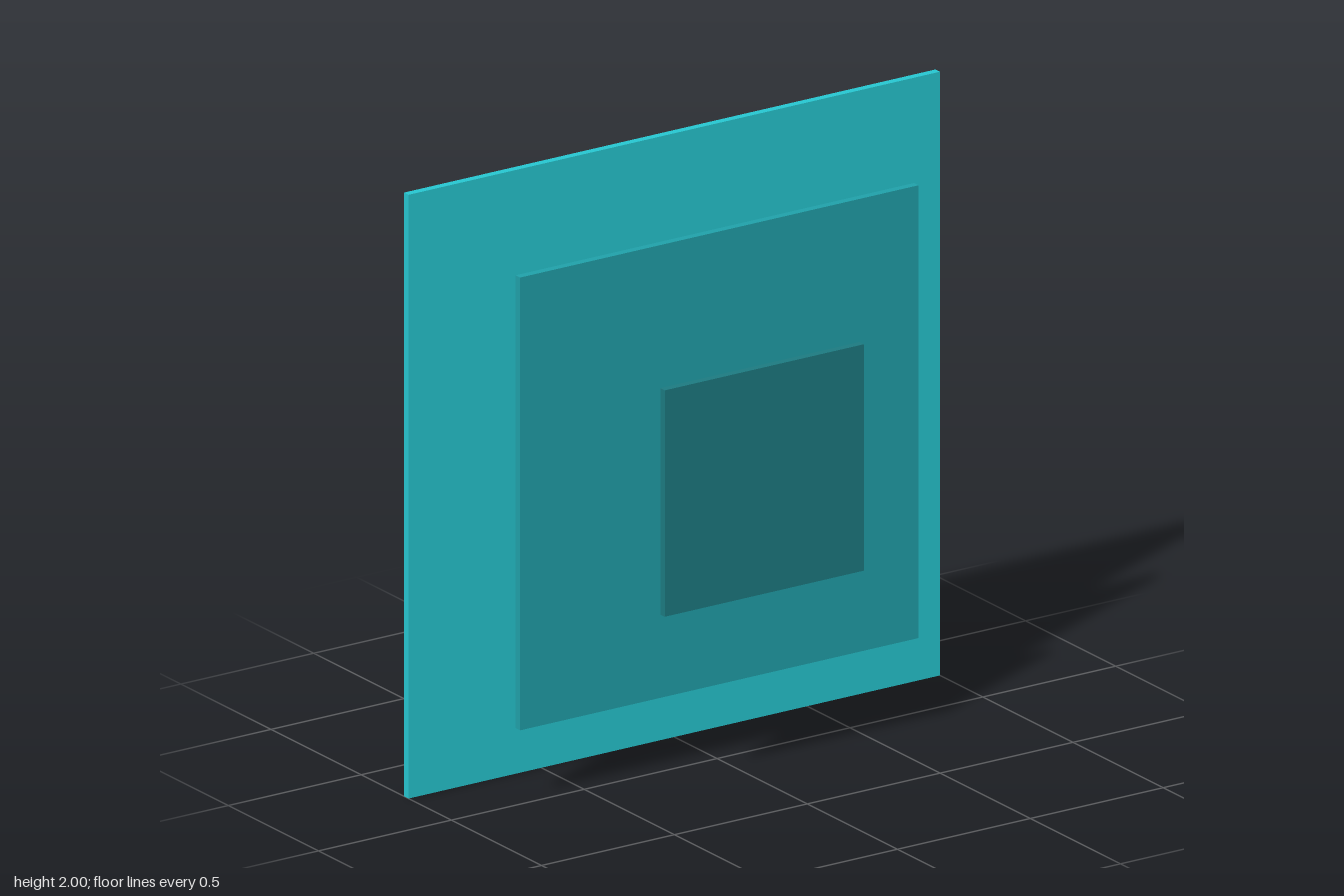
import * as THREE from 'three';

// Three square panels, floating parallel and shrinking towards the front
const PANELS = [
  { name: 'backPanel', size: 2, z: -0.25, color: 0x26c6d0 },
  { name: 'middlePanel', size: 1.5, z: 0, color: 0x20a0a9 },
  { name: 'frontPanel', size: 0.75, z: 0.25, color: 0x1c7a80 },
];
const THICKNESS = 0.025;

export function createModel() {
  const model = new THREE.Group();
  model.name = 'steppedPanels';
  for (const { name, size, z, color } of PANELS) {
    const panel = new THREE.Mesh(
      new THREE.BoxGeometry(size, size, THICKNESS),
      new THREE.MeshStandardMaterial({ color })
    );
    panel.name = name;
    panel.position.set(0, 1, z);
    model.add(panel);
  }
  return model;
}
